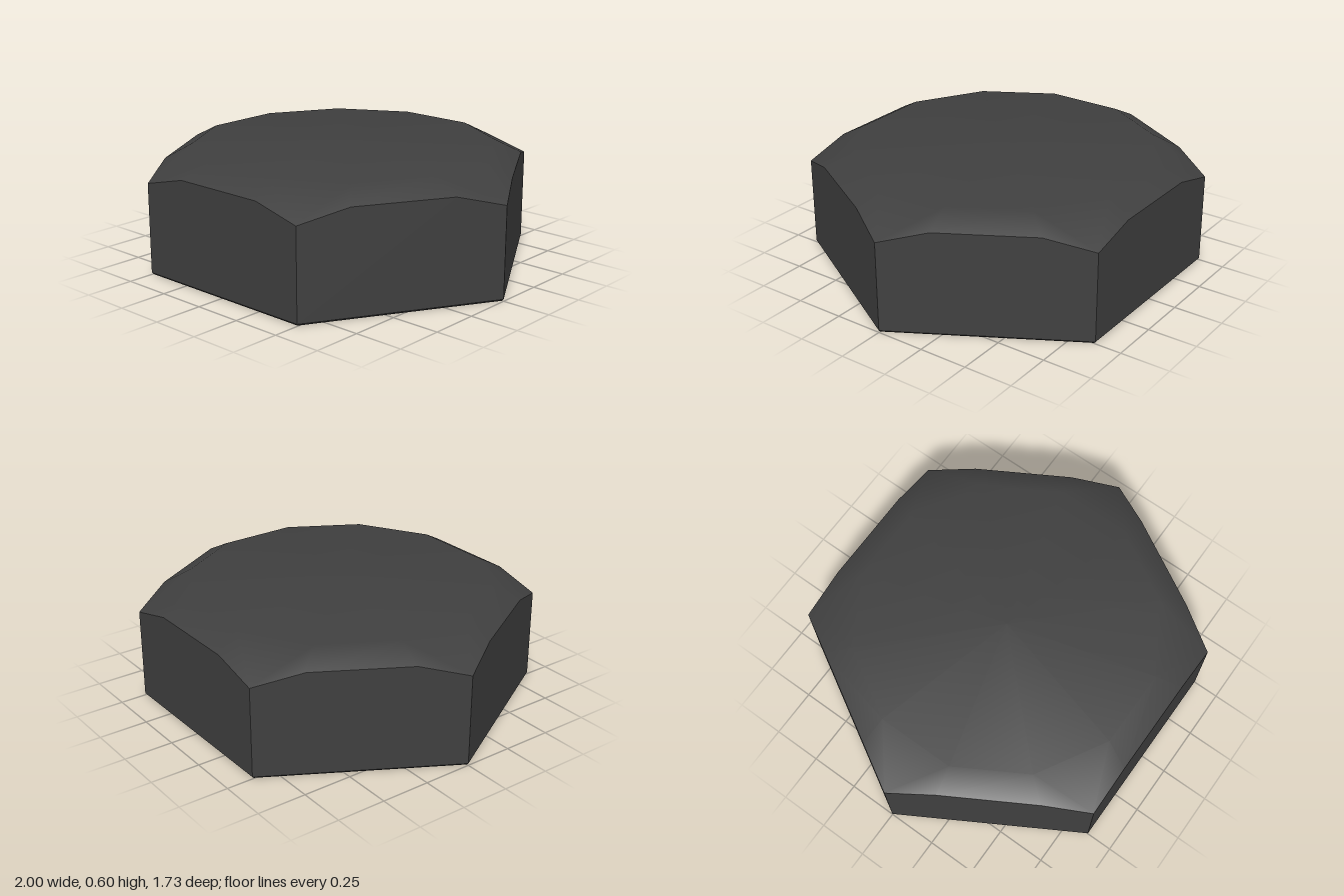
import * as THREE from 'three';

const HEIGHT = 0.6, BEVEL = 0.01;

// Point on the rim of side k (0 = front), t runs from -1 to 1 along the side
function rim(k, t, y, scale = 1) {
  return new THREE.Vector3(t * 0.5 * scale, y, 0.866 * scale)
    .applyAxisAngle(new THREE.Vector3(0, 1, 0), k * Math.PI / 3);
}

// Point on the twelve-sided flat top
function topPoint(i) {
  const a = THREE.MathUtils.degToRad(i * 30 - 15);
  return new THREE.Vector3(Math.sin(a) * 0.765, HEIGHT, Math.cos(a) * 0.765);
}

// Fan a convex polygon into triangles
function fan(out, ...pts) {
  for (let i = 1; i < pts.length - 1; i++) out.push(pts[0], pts[i], pts[i + 1]);
}

export function createModel() {
  const group = new THREE.Group();
  group.name = 'hexNut';
  const material = new THREE.MeshStandardMaterial({ color: 0x404040 });

  function addMesh(name, geometry) {
    geometry.computeVertexNormals();
    const mesh = new THREE.Mesh(geometry, material);
    mesh.name = name;
    group.add(mesh);
  }

  // Flat top and chamfer share vertices for soft shading
  const center = new THREE.Vector3(0, HEIGHT, 0);
  const points = [center], index = [];
  for (let k = 0; k < 6; k++) {
    points.push(rim(k, -1, 0.467), rim(k, -0.5, 0.53), rim(k, 0.5, 0.53), topPoint(2 * k), topPoint(2 * k + 1));
  }
  for (let k = 0; k < 6; k++) {
    const c = 1 + k * 5, p = c + 1, q = c + 2, a = c + 3, b = c + 4;
    const c2 = 1 + ((k + 1) % 6) * 5, a2 = c2 + 3;
    index.push(p, q, b, p, b, a, c, p, a, q, c2, b, c2, a2, b, 0, a, b, 0, b, a2);
  }
  addMesh('chamferedTop', new THREE.BufferGeometry().setFromPoints(points).setIndex(index));

  // Six flat sides with a fine bevel underneath, and the base
  const sides = [], base = [];
  for (let k = 0; k < 6; k++) {
    const low0 = rim(k, -1, BEVEL), low1 = rim(k, 1, BEVEL);
    const in0 = rim(k, -1, 0, 1 - BEVEL), in1 = rim(k, 1, 0, 1 - BEVEL);
    fan(sides, low0, low1, rim(k, 1, 0.467), rim(k, 0.5, 0.53), rim(k, -0.5, 0.53), rim(k, -1, 0.467));
    fan(sides, in0, in1, low1, low0);
    fan(base, new THREE.Vector3(), in1, in0);
  }
  addMesh('sides', new THREE.BufferGeometry().setFromPoints(sides));
  addMesh('base', new THREE.BufferGeometry().setFromPoints(base));

  return group;
}
